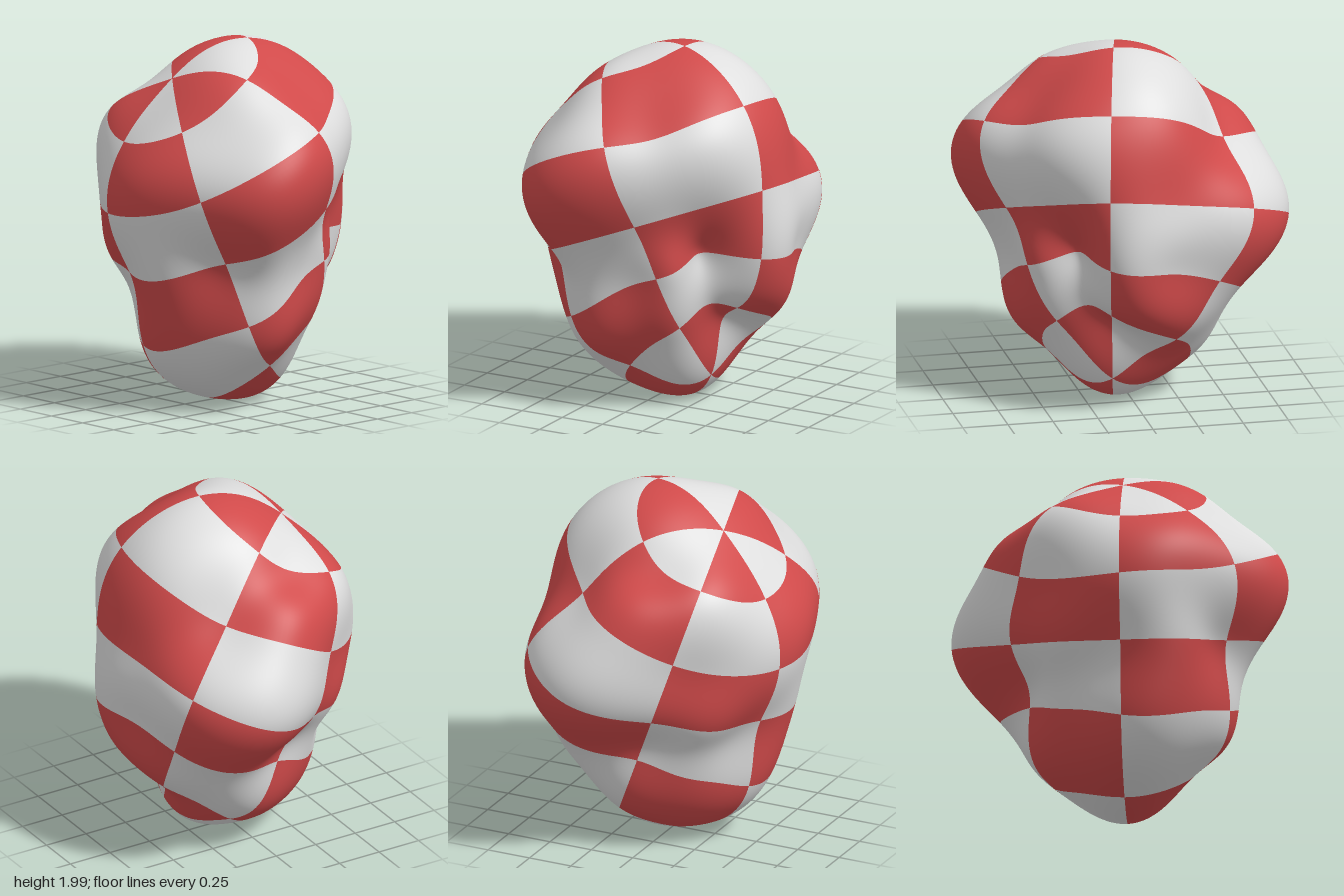
import * as THREE from 'three';

const RAD = Math.PI / 180;
const BANDS = 6, SECTORS = 6;          // checker fields from pole to pole and around
const ROWS = BANDS * 20, COLS = SECTORS * 28;

// Tilted ball axes: pole, forward meridian, right-hand meridian
const tilt = new THREE.Matrix4().makeRotationY(-14 * RAD)
  .multiply(new THREE.Matrix4().makeRotationX(22 * RAD));

// Unit direction for an angle from the pole and an angle around it
function direction(theta, phi) {
  const t = theta * RAD, p = phi * RAD;
  return new THREE.Vector3(Math.sin(t) * Math.sin(p), Math.cos(t), Math.sin(t) * Math.cos(p))
    .applyMatrix4(tilt);
}

// Radii every 30 degrees around the ball, one ring per checker border
const rings = {
  30: [.79, .80, .826, .88, .953, .95, 1.0, .97, .90, .83, .87, .83],
  60: [.73, .75, .82, .95, .935, .89, .94, .90, .79, .88, .74, .69],
  90: [.635, .69, .647, .74, .665, .65, .775, .765, .89, .94, .70, .66],
  120: [.825, .80, .765, .65, .61, .47, .72, .735, .78, .79, .68, .73],
  150: [.98, .93, .84, .75, .70, .60, .68, .77, .81, .83, .90, .94],
};
// Poles and extra bumps and dents: angle from pole, angle around, radius
const extras = [
  [0, 0, .87], [180, 0, .91],
  // right shoulder and flank
  [75, 90, .91], [45, 118, .925], [45, 90, .89], [90, 78, .75], [105, 80, .685], [105, 97, .63],
  // front brow and chin dent
  [52, 28, .79], [112, 350, .69], [135, 70, .82],
  // back right bump, ridge and valley
  [70, 155, .87], [55, 140, .87], [106, 150, .53], [120, 135, .59], [165, 180, .66], [165, 150, .70],
  // left shoulder, dent and hip
  [47, 264, .885], [45, 240, .84], [38, 258, .83], [105, 270, .86], [90, 255, .945],
  [130, 300, .79], [140, 300, .88],
  // back
  [105, 210, .755],
];

// Smooth falloff between two directions
function kernel(a, b) {
  const d = 3 * a.distanceTo(b);
  return (1 + d + d * d / 3) * Math.exp(-d);
}

// Solves a symmetric positive system by elimination
function solve(m, v) {
  const n = v.length;
  for (let i = 0; i < n; i++)
    for (let r = i + 1; r < n; r++) {
      const f = m[r][i] / m[i][i];
      for (let c = i; c < n; c++) m[r][c] -= f * m[i][c];
      v[r] -= f * v[i];
    }
  for (let i = n - 1; i >= 0; i--) {
    for (let c = i + 1; c < n; c++) v[i] -= m[i][c] * v[c];
    v[i] /= m[i][i];
  }
  return v;
}

// Returns a smooth radius function through all control radii
function makeRadius() {
  const controls = [...extras];
  for (const theta in rings)
    rings[theta].forEach((r, k) => controls.push([Number(theta), k * 30, r]));
  const mean = 0.8;
  const dirs = controls.map(([t, p]) => direction(t, p));
  const matrix = dirs.map((a, i) => dirs.map((b, j) => kernel(a, b) + (i === j ? 0.002 : 0)));
  const weights = solve(matrix, controls.map((c) => c[2] - mean));
  return (d) => dirs.reduce((sum, a, i) => sum + weights[i] * kernel(a, d), mean);
}

function lumpyBallGeometry() {
  const radius = makeRadius();
  const positions = [];
  const addVertex = (theta, phi) => {
    const d = direction(theta, phi);
    d.multiplyScalar(radius(d));
    positions.push(d.x + 0.05, d.y + 0.99, d.z);
  };

  // Top pole, rings, bottom pole
  addVertex(0, 0);
  for (let i = 1; i < ROWS; i++)
    for (let j = 0; j < COLS; j++) addVertex(i * 180 / ROWS, j * 360 / COLS);
  addVertex(180, 0);

  const index = (i, j) => {
    if (i === 0) return 0;
    if (i === ROWS) return 1 + (ROWS - 1) * COLS;
    return 1 + (i - 1) * COLS + (j % COLS);
  };

  // Faces sorted by checker colour
  const faces = [[], []];
  for (let i = 0; i < ROWS; i++)
    for (let j = 0; j < COLS; j++) {
      const band = Math.floor(i * BANDS / ROWS), sector = Math.floor(j * SECTORS / COLS);
      const list = faces[(band + sector) % 2];
      const a = index(i, j), b = index(i + 1, j), c = index(i + 1, j + 1), d = index(i, j + 1);
      if (i < ROWS - 1) list.push(a, b, c);
      if (i > 0) list.push(a, c, d);
    }

  const geometry = new THREE.BufferGeometry();
  geometry.setAttribute('position', new THREE.Float32BufferAttribute(positions, 3));
  geometry.setIndex([...faces[0], ...faces[1]]);
  geometry.addGroup(0, faces[0].length, 0);
  geometry.addGroup(faces[0].length, faces[1].length, 1);

  // Stand it on the ground
  geometry.computeBoundingBox();
  geometry.translate(0, -geometry.boundingBox.min.y, 0);
  geometry.computeVertexNormals();
  return geometry;
}

export function createModel() {
  const white = new THREE.MeshStandardMaterial({ color: 0xdedede });
  white.name = 'white';
  const red = new THREE.MeshStandardMaterial({ color: 0xd04a4a });
  red.name = 'red';

  const ball = new THREE.Mesh(lumpyBallGeometry(), [white, red]);
  ball.name = 'lumpyCheckeredBall';

  const group = new THREE.Group();
  group.name = 'checkeredBall';
  group.add(ball);
  return group;
}
